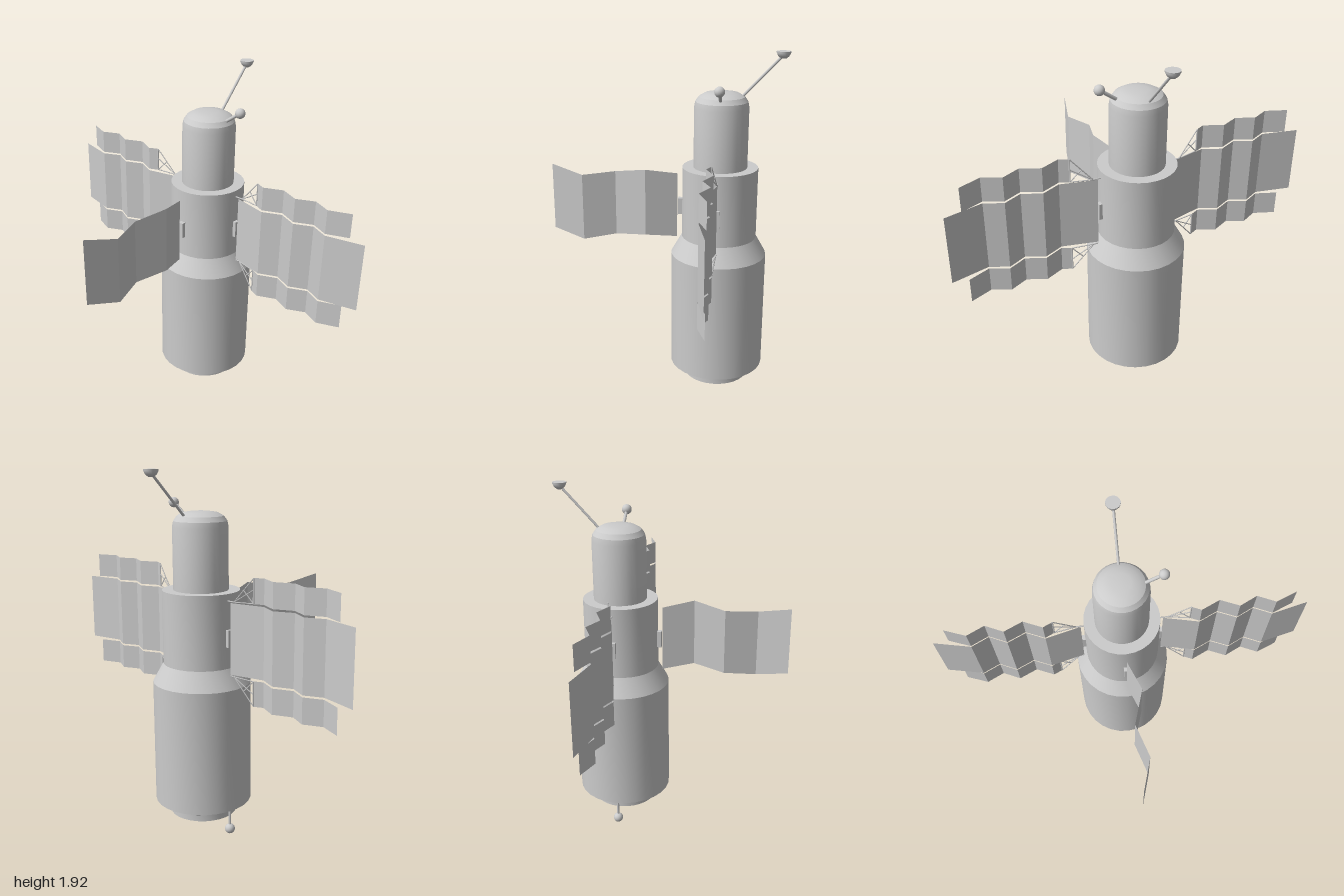
import * as THREE from 'three';
import { toCreasedNormals } from 'three/addons/utils/BufferGeometryUtils.js';

const AXIS_Z = -0.29;
const grey = new THREE.MeshStandardMaterial({ color: 0xcccccc });
const sheet = new THREE.MeshStandardMaterial({ color: 0xcccccc, side: THREE.DoubleSide, flatShading: true });
const V = (x, y, z) => new THREE.Vector3(x, y, z);

function add(parent, name, geometry, x = 0, y = 0, z = 0, material = grey) {
  const mesh = new THREE.Mesh(geometry, material);
  mesh.name = name;
  mesh.position.set(x, y, z);
  parent.add(mesh);
  return mesh;
}

// Straight round bar between two points
function rod(parent, name, a, b, radius, sides = 8) {
  const dir = b.clone().sub(a);
  const mid = a.clone().add(b).multiplyScalar(0.5);
  const mesh = add(parent, name, new THREE.CylinderGeometry(radius, radius, dir.length(), sides), mid.x, mid.y, mid.z);
  mesh.quaternion.setFromUnitVectors(V(0, 1, 0), dir.normalize());
}

// Folded sheet; each section is [x, z, bottom, top]
function foldedPanel(parent, name, sections) {
  const pos = [], index = [];
  sections.forEach(([x, z, y0, y1], i) => {
    pos.push(x, y0, z, x, y1, z);
    if (i) {
      const k = 2 * i;
      index.push(k - 2, k, k - 1, k - 1, k, k + 1);
    }
  });
  const g = new THREE.BufferGeometry();
  g.setAttribute('position', new THREE.Float32BufferAttribute(pos, 3));
  g.setIndex(index);
  g.computeVertexNormals();
  add(parent, name, g, 0, 0, 0, sheet);
}

function solarWing(side) {
  const wing = new THREE.Group();
  wing.name = side > 0 ? 'leftSolarWing' : 'rightSolarWing';
  const near = AXIS_Z, far = -0.245;
  const folds = [[0.41, far], [0.51, near], [0.61, far], [0.705, near], [0.8, far]];
  const strip = (name, x0, z0, x1, y0, y1) => foldedPanel(wing, name,
    [[x0, z0], ...folds, [x1, near]].map(([x, z]) => [side * x, z, y0, y1]));

  strip('mainSolarPanel', 0.22, near, 1, 0.892, 1.265);
  strip('upperSolarPanel', 0.36, -0.268, 0.915, 1.275, 1.405);
  strip('lowerSolarPanel', 0.36, -0.268, 0.915, 0.748, 0.882);
  add(wing, 'wingBracket', new THREE.BoxGeometry(0.04, 0.09, 0.03), side * 0.2, 1.08, AXIS_Z);

  // Strut fans carrying the narrow panels
  for (const [rootY, ys] of [[1.272, [1.277, 1.345, 1.403]], [0.885, [0.88, 0.812, 0.75]]]) {
    const root = V(side * 0.245, rootY, AXIS_Z);
    for (const y of ys) rod(wing, 'panelStrut', root, V(side * 0.36, y, -0.268), 0.003, 5);
    const mid = root.clone().lerp(V(side * 0.36, ys[2], -0.268), 0.5);
    rod(wing, 'strutBrace', mid, V(side * 0.36, ys[0], -0.268), 0.003, 5);
    rod(wing, 'strutPost', V(side * 0.36, ys[0], -0.268), V(side * 0.36, ys[2], -0.268), 0.004, 5);
    rod(wing, 'strutRoot', V(side * 0.19, rootY, AXIS_Z), root, 0.004, 5);
  }
  return wing;
}

export function createModel() {
  const model = new THREE.Group();
  model.name = 'spaceStation';

  // Stepped hull turned from one profile
  const profile = [
    [0, 0.083], [0.18, 0.083], [0.18, 0.118], [0.26, 0.158], [0.26, 0.82], [0.203, 0.92],
    [0.203, 1.308], [0.144, 1.308], [0.144, 1.63], [0.138, 1.66], [0.12, 1.685],
    [0.09, 1.702], [0.05, 1.708], [0, 1.71],
  ].map(([r, y]) => new THREE.Vector2(r, y));
  add(model, 'hull', toCreasedNormals(new THREE.LatheGeometry(profile, 28), 0.4), 0, 0, AXIS_Z);

  // Solar arrays
  model.add(solarWing(1), solarWing(-1));
  foldedPanel(model, 'frontSolarPanel', [
    [0, -0.06, 0.9, 1.262], [0.058, 0.108, 0.922, 1.292], [0, 0.282, 0.9, 1.262],
    [0.055, 0.455, 0.88, 1.25], [0, 0.632, 0.922, 1.292],
  ]);
  add(model, 'frontBracket', new THREE.BoxGeometry(0.03, 0.09, 0.04), 0, 1.08, -0.085);

  // Ball antennas
  const ball = new THREE.SphereGeometry(0.027, 16, 12);
  rod(model, 'lowerAntennaRod', V(-0.21, 0.03, AXIS_Z), V(-0.21, 0.16, AXIS_Z), 0.007);
  add(model, 'lowerAntennaBall', ball, -0.21, 0.028, AXIS_Z);
  rod(model, 'sideAntennaRod', V(0.11, 1.675, AXIS_Z), V(0.207, 1.743, AXIS_Z), 0.009);
  add(model, 'sideAntennaBall', ball, 0.207, 1.743, AXIS_Z);

  // Dish antenna with a flat top
  rod(model, 'dishRod', V(0, 1.675, -0.385), V(0, 1.9, -0.595), 0.007);
  const bowl = [[0, -0.038], [0.015, -0.036], [0.028, -0.025], [0.037, -0.007], [0.037, 0], [0, 0]]
    .map(([r, y]) => new THREE.Vector2(r, y));
  add(model, 'dish', toCreasedNormals(new THREE.LatheGeometry(bowl, 16), 0.7), 0, 1.92, -0.597);

  return model;
}
